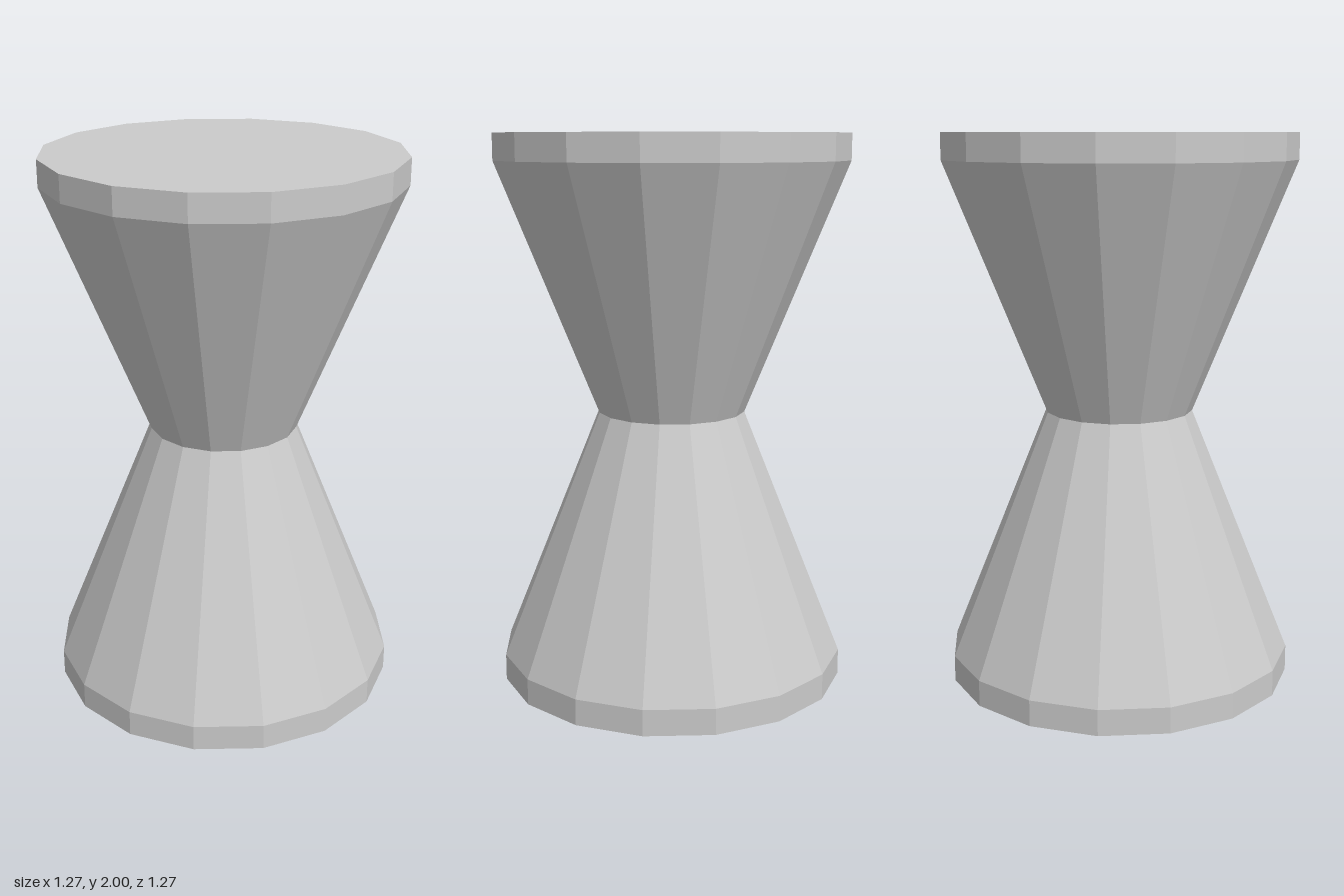
import * as THREE from 'three';

const SIDES = 16;
const RIM_RADIUS = 0.635;
const WAIST_RADIUS = 0.27;
const RIM_HEIGHT = 0.095;

export function createModel() {
  const group = new THREE.Group();
  group.name = 'hourglassStool';
  const material = new THREE.MeshStandardMaterial({ color: 0xcccccc, flatShading: true });

  // Adds one faceted ring from y0 up to y1
  function addRing(name, r0, r1, y0, y1, open) {
    const geometry = new THREE.CylinderGeometry(r1, r0, y1 - y0, SIDES, 1, open);
    const mesh = new THREE.Mesh(geometry, material);
    mesh.name = name;
    mesh.position.y = (y0 + y1) / 2;
    group.add(mesh);
  }

  // Base rim and lower cone
  addRing('baseRim', RIM_RADIUS, RIM_RADIUS, 0, RIM_HEIGHT, false);
  addRing('lowerCone', RIM_RADIUS, WAIST_RADIUS, RIM_HEIGHT, 1, true);

  // Upper cone and seat rim
  addRing('upperCone', WAIST_RADIUS, RIM_RADIUS, 1, 2 - RIM_HEIGHT, true);
  addRing('seatRim', RIM_RADIUS, RIM_RADIUS, 2 - RIM_HEIGHT, 2, false);

  return group;
}
